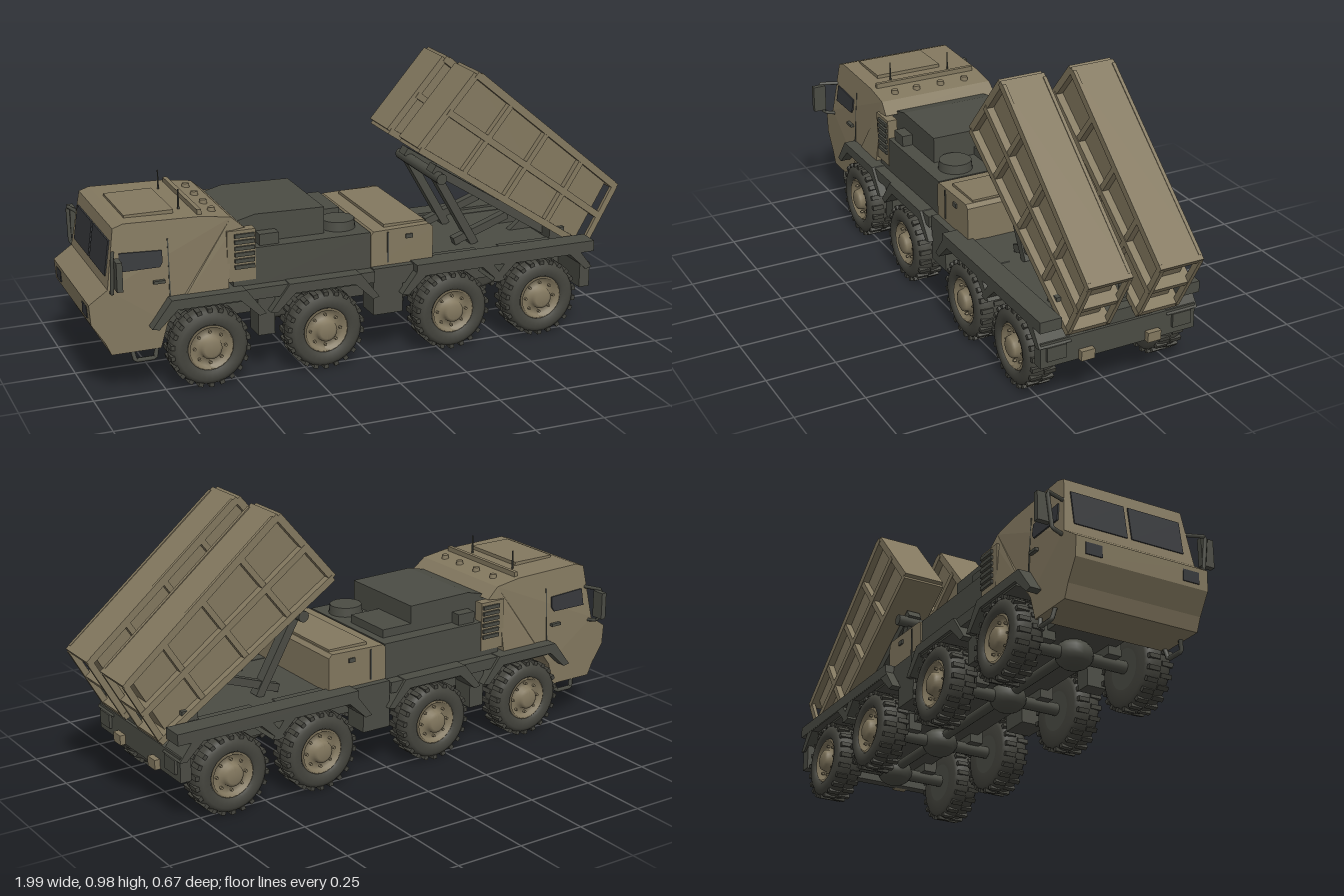
import * as THREE from 'three';

const mat = (name, color) => Object.assign(new THREE.MeshStandardMaterial({ color }), { name });

export function createModel() {
  const tan = mat('sand paint', 0x83785f);
  const dark = mat('dark olive', 0x4b4c44);
  const rubber = mat('tyre rubber', 0x45453e);
  const glass = mat('window glass', 0x35373a);
  const root = new THREE.Group();
  root.name = 'launcherTruck';

  const add = (name, geo, m, parent = root) => {
    const mesh = new THREE.Mesh(geo, m);
    mesh.name = name;
    parent.add(mesh);
    return mesh;
  };
  // Box given by its limits on each axis
  const box = (name, m, x0, x1, y0, y1, z0, z1, parent) => {
    const b = add(name, new THREE.BoxGeometry(x1 - x0, y1 - y0, z1 - z0), m, parent);
    b.position.set((x0 + x1) / 2, (y0 + y1) / 2, (z0 + z1) / 2);
    return b;
  };
  // Side profile extruded across the width
  const prism = (name, m, pts, z0, z1, parent) => {
    const shape = new THREE.Shape(pts.map(p => new THREE.Vector2(...p)));
    const g = new THREE.ExtrudeGeometry(shape, { depth: z1 - z0, bevelEnabled: false, curveSegments: 4 });
    return add(name, g.translate(0, 0, z0), m, parent);
  };
  // Flat bar between two side-view points
  const bar = (name, m, p, q, thick, z0, z1, parent) => {
    const len = Math.hypot(q[0] - p[0], q[1] - p[1]);
    const b = add(name, new THREE.BoxGeometry(len, thick, z1 - z0), m, parent);
    b.position.set((p[0] + q[0]) / 2, (p[1] + q[1]) / 2, (z0 + z1) / 2);
    b.rotation.z = Math.atan2(q[1] - p[1], q[0] - p[0]);
    return b;
  };
  const tube = (name, m, pts, r, parent) => {
    const path = new THREE.CurvePath();
    const v = pts.map(p => new THREE.Vector3(...p));
    for (let i = 1; i < v.length; i++) path.add(new THREE.LineCurve3(v[i - 1], v[i]));
    return add(name, new THREE.TubeGeometry(path, (v.length - 1) * 6, r, 6), m, parent);
  };
  // Cab walls lean inwards above the waist
  const taper = mesh => {
    const p = mesh.geometry.attributes.position;
    for (let i = 0; i < p.count; i++) p.setZ(i, p.getZ(i) * (1 - 0.5 * Math.max(0, p.getY(i) - 0.4)));
    mesh.geometry.computeVertexNormals();
    return mesh;
  };
  const sides = [1, -1];
  const span = (s, a, b) => (s > 0 ? [a, b] : [-b, -a]);

  // Cab
  taper(prism('cab', tan, [[-1, 0.34], [-0.995, 0.27], [-0.95, 0.2], [-0.93, 0.155], [-0.76, 0.155], [-0.735, 0.24],
    [-0.68, 0.31], [-0.52, 0.33], [-0.5, 0.53], [-0.455, 0.535], [-0.5, 0.575], [-0.6, 0.59], [-0.87, 0.597], [-0.905, 0.585],
    [-0.935, 0.385]], -0.245, 0.245));
  for (const [z0, z1] of [[-0.205, -0.008], [0.008, 0.205]]) {
    prism('windscreen', glass, [[-0.934, 0.42], [-0.926, 0.42], [-0.909, 0.54], [-0.917, 0.54]], z0, z1);
  }
  box('roofHatch', tan, -0.85, -0.68, 0.59, 0.605, -0.1, 0.16);
  bar('roofRail', tan, [-0.61, 0.598], [-0.595, 0.598], 0.018, -0.2, 0.2);
  for (const z of [-0.14, -0.04, 0.06, 0.15]) {
    add('roofVent', new THREE.CylinderGeometry(0.012, 0.015, 0.02, 10), tan).position.set(-0.545, 0.585, z);
  }
  for (const s of sides) {
    taper(prism('sideWindow', glass, [[-0.895, 0.44], [-0.755, 0.44], [-0.745, 0.455], [-0.745, 0.495], [-0.89, 0.502]],
      ...span(s, 0.243, 0.249)));
    taper(prism('doorSeam', dark, [[-0.725, 0.3], [-0.721, 0.3], [-0.721, 0.53], [-0.725, 0.53]], ...span(s, 0.243, 0.247)));
    box('doorHandle', dark, -0.78, -0.74, 0.385, 0.395, ...span(s, 0.24, 0.253));
    box('headlamp', glass, -1.0, -0.992, 0.285, 0.325, ...span(s, 0.15, 0.21));
    // Mirror on a hoop frame
    box('mirror', dark, -0.925, -0.905, 0.405, 0.505, ...span(s, 0.285, 0.333));
    tube('mirrorFrame', dark, [[-0.91, 0.505, s * 0.23], [-0.93, 0.508, s * 0.3], [-0.93, 0.385, s * 0.285], [-0.92, 0.375, s * 0.235]], 0.007);
    // Boarding step
    tube('boardingStep', dark, [[-0.86, 0.17, s * 0.23], [-0.85, 0.122, s * 0.24], [-0.78, 0.122, s * 0.24], [-0.77, 0.17, s * 0.23]], 0.008);
    add('antenna', new THREE.CylinderGeometry(0.002, 0.004, 0.08, 6), dark).position.set(-0.65, 0.62, s * 0.12);
    // Air intake behind the cab
    box('intakePanel', tan, -0.52, -0.42, 0.35, 0.53, ...span(s, 0.2, 0.238));
    for (let i = 0; i < 6; i++) {
      box('intakeSlat', dark, -0.495, -0.425, 0.395 + i * 0.022, 0.408 + i * 0.022, ...span(s, 0.23, 0.246));
    }
  }

  // Engine housing
  box('engineHousing', dark, -0.5, 0, 0.3, 0.46, -0.235, 0.235);
  prism('engineCover', dark, [[-0.5, 0.45], [-0.15, 0.45], [-0.15, 0.555], [-0.4, 0.56], [-0.5, 0.535]], -0.18, 0.18);
  box('enginePipeBox', dark, -0.15, -0.03, 0.45, 0.49, -0.18, 0.02);
  add('airFilter', new THREE.CylinderGeometry(0.058, 0.062, 0.035, 20), dark).position.set(-0.08, 0.475, 0.13);
  for (const s of sides) {
    box('engineSideBox', dark, -0.4, -0.33, 0.45, 0.5, ...span(s, 0.16, 0.22));
  }

  // Equipment locker
  prism('equipmentLocker', tan, [[0, 0.33], [0.235, 0.33], [0.235, 0.455], [0.22, 0.467], [0.01, 0.462], [0, 0.45]], -0.24, 0.24);
  box('lockerLid', tan, 0.06, 0.215, 0.462, 0.474, -0.21, 0.21);
  for (const s of sides) {
    box('lockerSeam', dark, 0.06, 0.066, 0.345, 0.455, ...span(s, 0.238, 0.243));
    box('lockerLatch', dark, 0.13, 0.155, 0.425, 0.44, ...span(s, 0.235, 0.246));
  }

  // Chassis
  box('chassisFrame', dark, -0.86, 0.83, 0.19, 0.3, -0.13, 0.13);
  box('frontDeck', dark, -0.7, 0, 0.29, 0.33, -0.275, 0.275);
  box('middleDeck', dark, 0, 0.16, 0.27, 0.335, -0.265, 0.265);
  box('rearDeck', dark, 0.16, 0.79, 0.29, 0.33, -0.27, 0.27);
  box('rearBumper', dark, 0.8, 0.84, 0.165, 0.255, -0.29, 0.29);
  for (const s of sides) {
    box('rearSideRail', dark, 0.15, 0.85, 0.3, 0.34, ...span(s, 0.22, 0.298));
    box('toolBox', dark, 0, 0.11, 0.165, 0.3, ...span(s, 0.17, 0.265));
    box('sideTank', dark, -0.42, -0.36, 0.15, 0.3, ...span(s, 0.17, 0.255));
    box('towHook', tan, 0.83, 0.86, 0.165, 0.2, ...span(s, 0.1, 0.15));
    box('tailLamp', dark, 0.83, 0.85, 0.19, 0.24, ...span(s, 0.2, 0.27));
  }

  // Wheels, axles and mudguards
  const tyre = new THREE.LatheGeometry([[0.07, -0.1], [0.115, -0.1], [0.13, -0.09], [0.136, -0.07], [0.136, -0.03],
    [0.13, -0.01], [0.115, 0], [0.088, 0.002], [0.078, -0.012]].map(p => new THREE.Vector2(...p)), 32);
  const rim = new THREE.LatheGeometry([[0.08, -0.1], [0.082, -0.01], [0.074, -0.003], [0.068, -0.02], [0.042, -0.02],
    [0.037, 0.002], [0.026, 0.008], [0, 0.008]].map(p => new THREE.Vector2(...p)), 24);
  rim.computeVertexNormals();
  rubber.side = rim.side = THREE.DoubleSide;
  const lug = new THREE.BoxGeometry(0.014, 0.042, 0.016);
  const bolt = new THREE.CylinderGeometry(0.005, 0.005, 0.012, 6);
  const makeWheel = (x, s) => {
    const w = new THREE.Group();
    w.name = 'wheel';
    add('tyre', tyre, rubber, w);
    add('rim', rim, tan, w);
    add('innerDisc', new THREE.CylinderGeometry(0.08, 0.08, 0.01, 24), dark, w).position.y = -0.094;
    for (let i = 0; i < 44; i++) {
      const a = i * Math.PI / 22;
      const l = add('treadLug', lug, rubber, w);
      l.position.set(Math.cos(a) * 0.134, i % 2 ? -0.026 : -0.074, Math.sin(a) * 0.134);
      l.rotation.y = -a;
    }
    for (let i = 0; i < 8; i++) {
      const a = i * Math.PI / 4;
      add('wheelBolt', bolt, tan, w).position.set(Math.cos(a) * 0.055, -0.016, Math.sin(a) * 0.055);
    }
    w.position.set(x, 0.145, s * 0.293);
    w.rotation.x = s * Math.PI / 2;
    root.add(w);
  };
  for (const x of [-0.6, -0.185, 0.295, 0.645]) {
    const axle = add('axle', new THREE.CylinderGeometry(0.022, 0.022, 0.42, 12), dark);
    axle.position.set(x, 0.15, 0);
    axle.rotation.x = Math.PI / 2;
    const diff = add('differential', new THREE.SphereGeometry(0.055, 16, 10), dark);
    diff.position.set(x, 0.152, 0);
    diff.scale.set(1.1, 0.95, 1.2);
    for (const s of sides) {
      makeWheel(x, s);
      prism('mudguard', dark, [[x - 0.2, 0.24], [x - 0.13, 0.332], [x + 0.13, 0.332], [x + 0.2, 0.24], [x + 0.175, 0.235],
        [x + 0.11, 0.297], [x - 0.11, 0.297], [x - 0.175, 0.235]], ...span(s, 0.18, x > 0 ? 0.297 : 0.285));
      box('springMount', dark, x - 0.05, x + 0.05, 0.16, 0.22, ...span(s, 0.1, 0.15));
    }
  }
  const shaft = add('driveShaft', new THREE.CylinderGeometry(0.018, 0.018, 1.25, 10), dark);
  shaft.position.set(0.02, 0.165, 0);
  shaft.rotation.z = Math.PI / 2;

  // Launch pods: ribbed quadrilateral boxes, u runs down the length and v down the height
  const mix = (a, b, t) => [a[0] + (b[0] - a[0]) * t, a[1] + (b[1] - a[1]) * t];
  const at = (u, v) => mix(mix([0.408, 0.975], [0.985, 0.5], u), mix([0.195, 0.728], [0.865, 0.285], u), v);
  for (const s of sides) {
    const pod = new THREE.Group();
    pod.name = 'launchPod';
    pod.position.z = s * 0.13;
    root.add(pod);
    prism('podCore', tan, [at(0, 0), at(0, 1), at(0.95, 1), at(0.95, 0)], -0.054, 0.054, pod);
    for (const v of [0, 0.5, 1]) bar('longRib', tan, at(0, v), at(1, v), 0.024, -0.08, 0.08, pod);
    for (const u of [0, 0.25, 0.5, 0.75]) bar('crossRib', tan, at(u, 0), at(u, 1), u ? 0.02 : 0.026, -0.078, 0.078, pod);
    for (const z of [-0.079, 0.065]) bar('endPost', tan, at(0.99, 0), at(0.99, 1), 0.022, z, z + 0.014, pod);
    // Raised band along the top edges
    for (const z of [-0.08, 0.068]) bar('topEdge', tan, at(0.02, -0.03), at(0.98, -0.03), 0.012, z, z + 0.012, pod);
    // Lifting arms beneath the pod
    bar('liftArm', dark, [0.29, 0.61], [0.45, 0.33], 0.03, s * 0.12 - 0.02, s * 0.12 + 0.02);
    bar('liftBrace', dark, [0.37, 0.345], [0.58, 0.42], 0.028, s * 0.12 - 0.015, s * 0.12 + 0.015);
    bar('podRail', dark, [0.28, 0.61 + 0.02], [0.82, 0.29], 0.03, s * 0.12 - 0.025, s * 0.12 + 0.025);
    prism('pivotBracket', dark, [[0.62, 0.32], [0.8, 0.32], [0.8, 0.35], [0.72, 0.4]], ...span(s, 0.03, 0.055));
  }
  const beam = add('liftCrossBeam', new THREE.CylinderGeometry(0.02, 0.02, 0.36, 12), dark);
  beam.position.set(0.295, 0.6, 0);
  beam.rotation.x = Math.PI / 2;
  box('pivotBeam', dark, 0.72, 0.78, 0.32, 0.37, -0.2, 0.2);

  return root;
}
